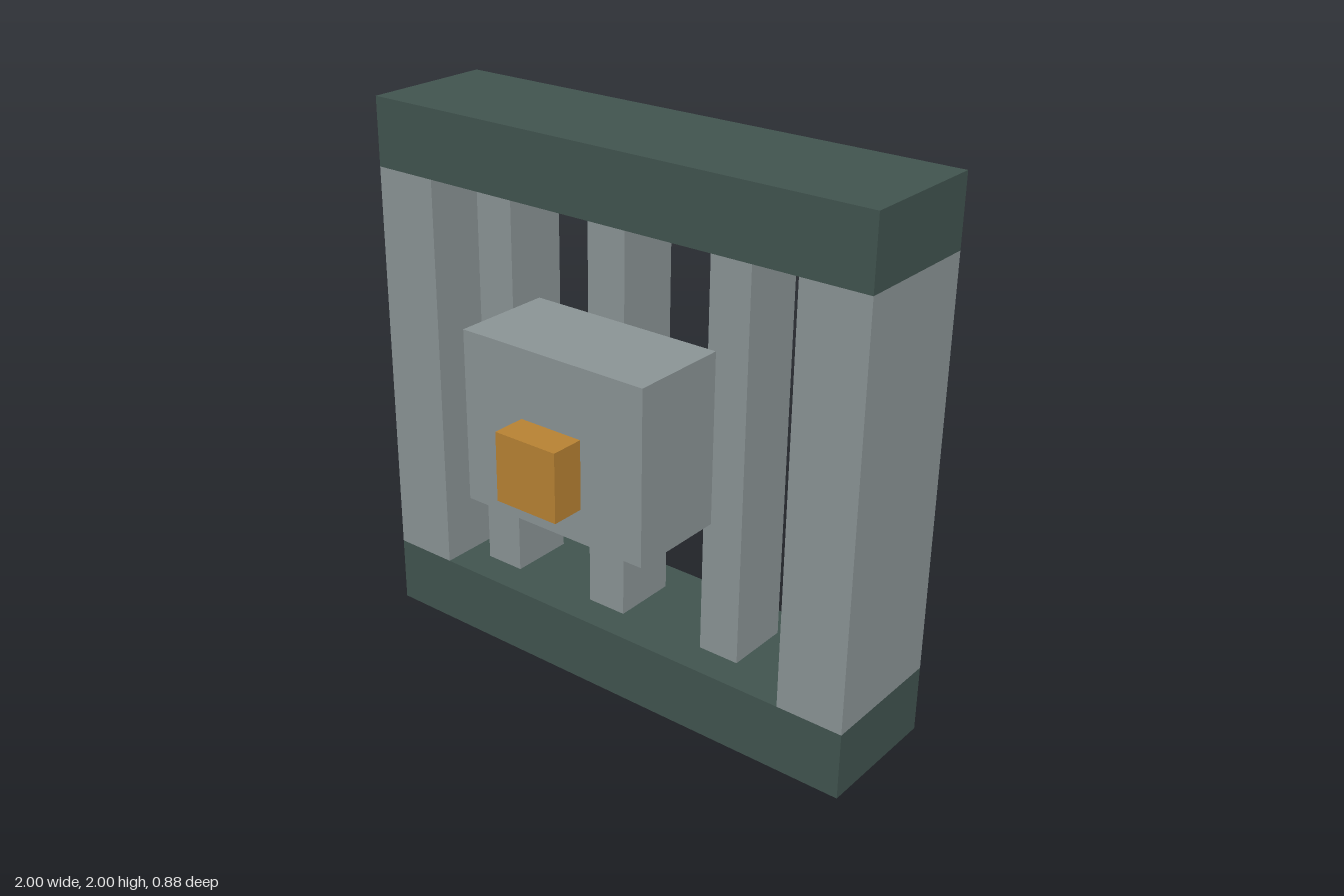
import * as THREE from 'three';

export function createModel() {
  const group = new THREE.Group();
  const mat = (name, color) => {
    const m = new THREE.MeshStandardMaterial({ color });
    m.name = name;
    return m;
  };
  const darkIron = mat('darkIron', 0x41544f);
  const steel = mat('steel', 0x8b9496);
  const brass = mat('brass', 0xb88233);

  // Box given by its minimum and maximum corners
  const box = (name, material, [x0, y0, z0], [x1, y1, z1]) => {
    const mesh = new THREE.Mesh(new THREE.BoxGeometry(x1 - x0, y1 - y0, z1 - z0), material);
    mesh.position.set((x0 + x1) / 2, (y0 + y1) / 2, (z0 + z1) / 2);
    mesh.name = name;
    group.add(mesh);
  };

  const back = -0.4375, front = 0.0625;

  // Top and bottom beams
  box('bottomBeam', darkIron, [-1, 0, back], [1, 0.25, front]);
  box('topBeam', darkIron, [-1, 1.75, back], [1, 2, front]);

  // Side posts between the beams
  box('rightPost', steel, [-1, 0.25, back], [-0.75, 1.75, front]);
  box('leftPost', steel, [0.75, 0.25, back], [1, 1.75, front]);

  // Evenly spaced bars, set in from the frame
  for (let i = 0; i < 3; i++) {
    const x = -0.656 + i * 0.5;
    box(`bar${i + 1}`, steel, [x, 0.25, -0.3125], [x + 0.156, 1.75, -0.0625]);
  }

  // Lock case resting on the bars, with its brass knob
  box('lockCase', steel, [-0.375, 0.75, -0.0625], [0.375, 1.375, 0.3125]);
  box('lockKnob', brass, [-0.125, 0.875, 0.3125], [0.125, 1.125, 0.4375]);

  return group;
}
